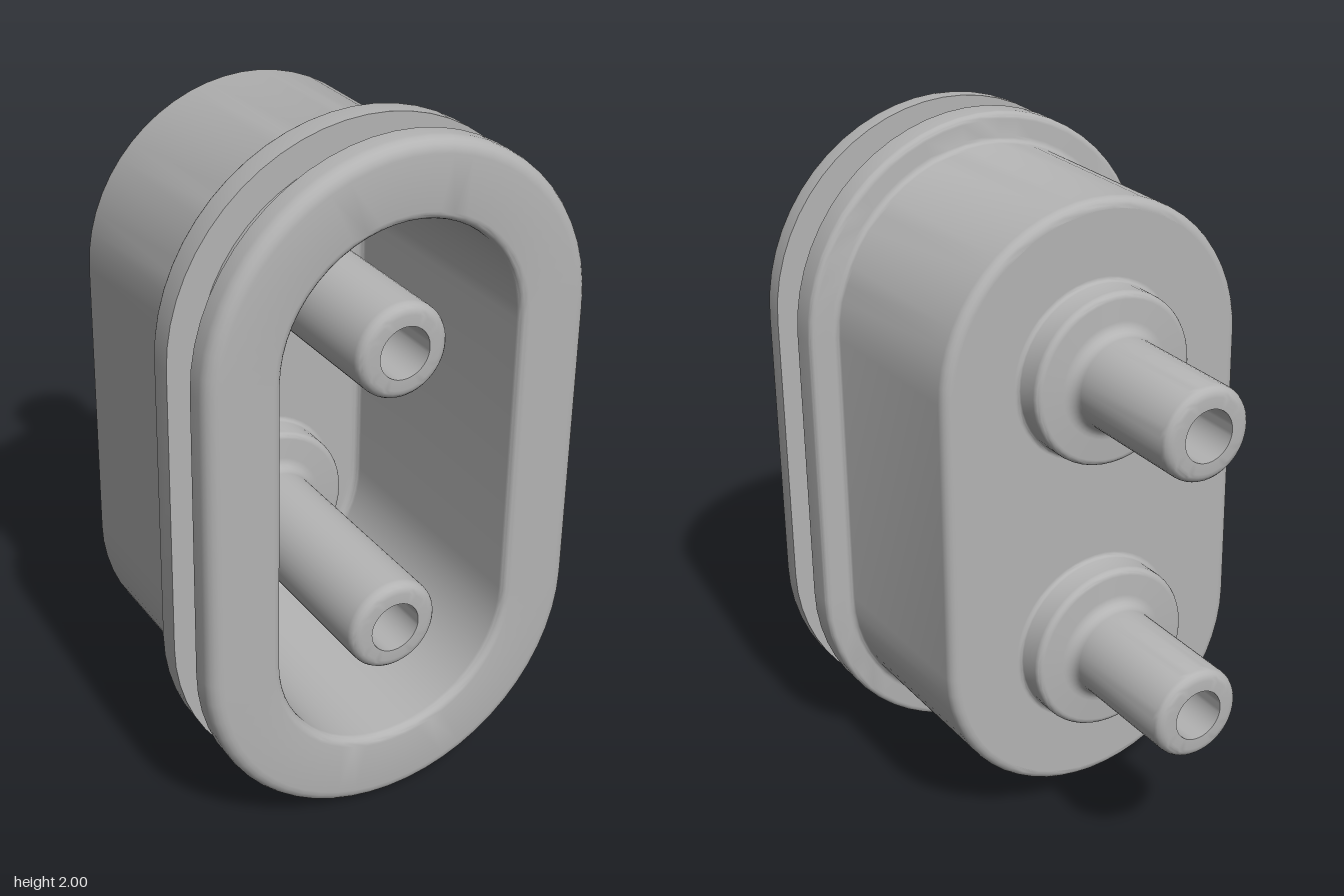
import * as THREE from 'three';
import { toCreasedNormals } from 'three/addons/utils/BufferGeometryUtils.js';

const HALF = 0.425; // half distance between the two end-arc centres
const ARC = 28; // segments in each half-round end
const BACK = -0.19, FLOOR = -0.1, FRONT = 0.7;

// Profile of [radius, z, fillet] corners, every filleted corner being square
function profile(corners) {
  const points = [];
  corners.forEach(([r, z, fillet], i) => {
    const p = new THREE.Vector2(r, z);
    if (!fillet) return points.push(p);
    const toward = (c) => new THREE.Vector2(c[0], c[1]).sub(p).setLength(fillet);
    const a = toward(corners[i - 1]);
    const b = toward(corners[i + 1]);
    const centre = p.clone().add(a).add(b);
    for (let k = 0; k <= 5; k++) {
      const t = (k / 5) * Math.PI / 2;
      points.push(centre.clone().addScaledVector(b, -Math.cos(t)).addScaledVector(a, -Math.sin(t)));
    }
  });
  return points;
}

// Sweep a profile around a stadium outline in the xy plane
function stadiumSweep(points) {
  const columns = 2 * (ARC + 1);
  const geometry = new THREE.LatheGeometry(points, columns);
  const position = geometry.attributes.position;
  for (let i = 0; i <= columns; i++) {
    const c = i % columns;
    const lower = c > ARC;
    const angle = Math.PI * (lower ? c - 1 : c) / ARC;
    points.forEach((p, j) => position.setXYZ(
      i * points.length + j,
      p.x * Math.cos(angle),
      p.x * Math.sin(angle) + (lower ? -HALF : HALF),
      p.y,
    ));
  }
  return toCreasedNormals(geometry, 0.6);
}

// Flat stadium plate face, pierced where the tubes pass through
function wallFace(radius) {
  const shape = new THREE.Shape();
  shape.absarc(0, HALF, radius, 0, Math.PI);
  shape.absarc(0, -HALF, radius, Math.PI, 2 * Math.PI);
  for (const y of [-HALF, HALF]) {
    shape.holes.push(new THREE.Path().absarc(0, y, 0.255, 0, 2 * Math.PI, true));
  }
  return new THREE.ShapeGeometry(shape, ARC);
}

export function createModel() {
  const group = new THREE.Group();
  const grey = new THREE.MeshStandardMaterial({ name: 'grey', color: 0xb3b3b3 });
  const add = (name, geometry, y = 0, z = 0) => {
    const mesh = new THREE.Mesh(geometry, grey);
    mesh.name = name;
    mesh.position.set(0, 1 + y, z);
    group.add(mesh);
    return mesh;
  };

  // Hollow housing with two rims and a groove between them
  add('housing', stadiumSweep(profile([
    [0.455, BACK],
    [0.487, BACK, 0.03],
    [0.487, 0.403, 0.02],
    [0.575, 0.403, 0.02],
    [0.575, 0.487],
    [0.487, 0.487],
    [0.487, 0.615],
    [0.575, 0.615],
    [0.575, FRONT, 0.04],
    [0.36, FRONT, 0.025],
    [0.36, FLOOR, 0.025],
    [0.33, FLOOR],
  ])));

  // Two faces of the rear wall
  add('rearWallOutside', wallFace(0.457), 0, BACK).rotation.y = Math.PI;
  add('rearWallInside', wallFace(0.335), 0, FLOOR);

  // Tubes through the rear wall, each with a collar on both sides
  const tube = toCreasedNormals(new THREE.LatheGeometry(profile([
    [0.075, -0.7],
    [0.136, -0.7, 0.03],
    [0.136, BACK - 0.09, 0.035],
    [0.253, BACK - 0.09, 0.02],
    [0.253, BACK, 0.015],
    [0.269, BACK],
    [0.269, FLOOR],
    [0.253, FLOOR, 0.015],
    [0.253, FLOOR + 0.09, 0.02],
    [0.136, FLOOR + 0.09, 0.035],
    [0.136, 0.695, 0.03],
    [0.075, 0.695],
    [0.075, -0.7],
  ]), 48).rotateX(Math.PI / 2), 0.6);
  add('upperTube', tube, HALF);
  add('lowerTube', tube, -HALF);

  return group;
}
